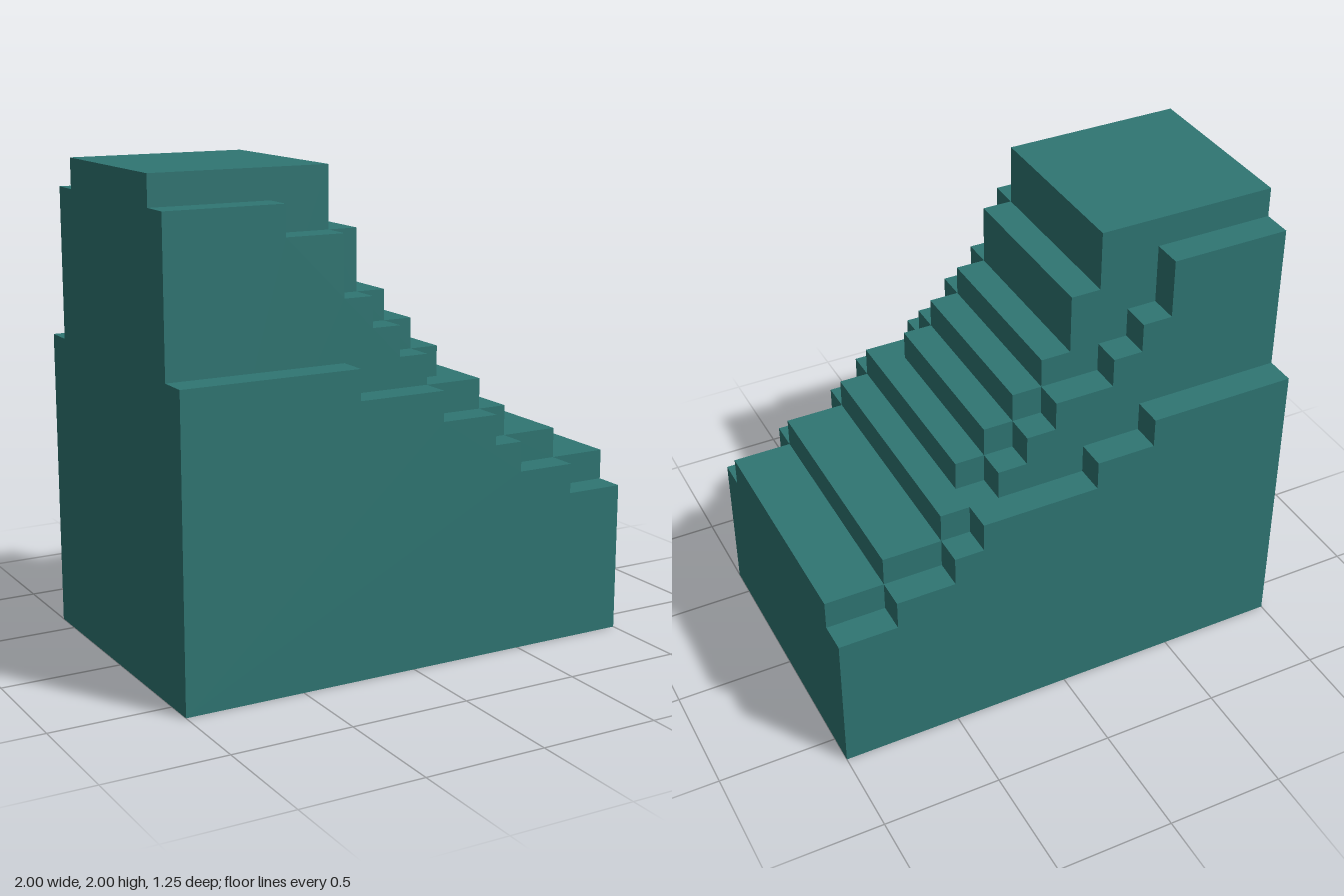
import * as THREE from 'three';

// Each layer is a slice along z with a stair profile: pairs of [x where the tread ends, tread height].
const LAYERS = [
  { name: 'frontLowerLedge', z: [0.5, 0.625],
    steps: [[-0.25, 1.25], [0.125, 1.125], [0.375, 1], [0.5, 0.875], [0.75, 0.75], [1, 0.625]] },
  { name: 'frontUpperLedge', z: [0.375, 0.5],
    steps: [[-0.5, 1.875], [-0.25, 1.75], [-0.125, 1.5], [0, 1.375], [0.125, 1.25],
      [0.375, 1.125], [0.5, 1], [0.75, 0.875], [1, 0.75]] },
  { name: 'mainStaircase', z: [-0.375, 0.375],
    steps: [[-0.25, 2], [-0.125, 1.75], [0, 1.5], [0.125, 1.375], [0.25, 1.25],
      [0.375, 1.125], [0.5, 1], [0.75, 0.875], [1, 0.75]] },
  { name: 'backUpperLedge', z: [-0.5, -0.375],
    steps: [[-0.5, 1.875], [-0.375, 1.625], [-0.25, 1.5], [0, 1.375], [0.125, 1.25],
      [0.25, 1.125], [0.5, 1], [0.75, 0.875], [1, 0.75]] },
  { name: 'backLowerLedge', z: [-0.625, -0.5],
    steps: [[-0.375, 1.25], [-0.125, 1.125], [0.375, 1], [0.5, 0.875], [0.75, 0.75], [1, 0.625]] },
];

// Extrude a stepped side profile between two depths.
function steppedSlice(steps, [z0, z1]) {
  const shape = new THREE.Shape();
  shape.moveTo(-1, 0);
  let x = -1;
  for (const [endX, height] of steps) {
    shape.lineTo(x, height);
    shape.lineTo(endX, height);
    x = endX;
  }
  shape.lineTo(1, 0);
  shape.closePath();
  const geometry = new THREE.ExtrudeGeometry(shape, { depth: z1 - z0, bevelEnabled: false });
  return geometry.translate(0, 0, z0);
}

export function createModel() {
  const group = new THREE.Group();
  group.name = 'steppedBlock';
  const teal = new THREE.MeshStandardMaterial({ color: 0x2f7673 });
  teal.name = 'teal';

  for (const { name, z, steps } of LAYERS) {
    const mesh = new THREE.Mesh(steppedSlice(steps, z), teal);
    mesh.name = name;
    group.add(mesh);
  }
  return group;
}
